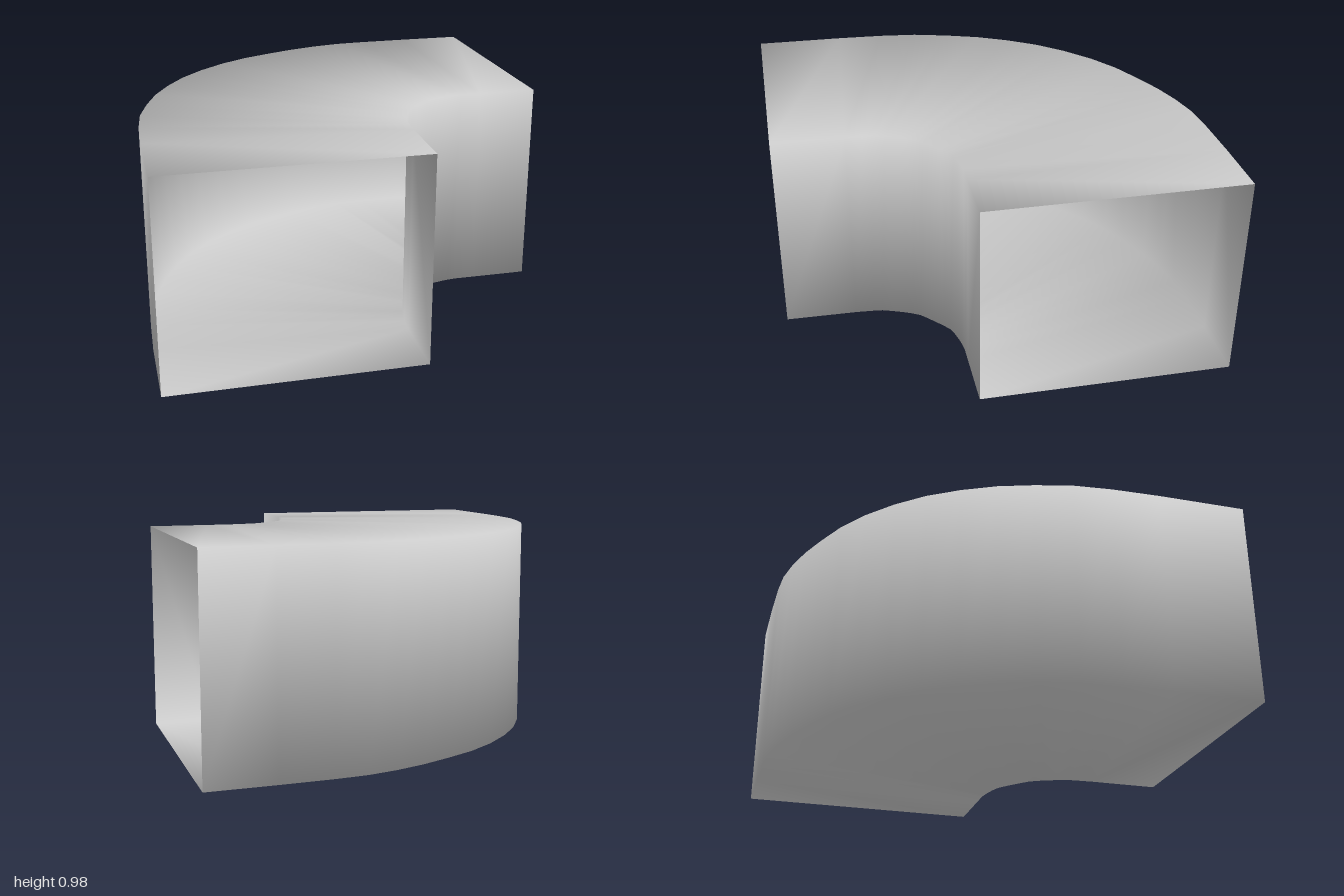
import * as THREE from 'three';

// Plan outlines [x, z] of the two side walls, from the front opening to the side opening
const outer = [
  [-0.975, 1], [-0.97, 0.58], [-0.96, 0.35], [-0.94, 0.17], [-0.895, 0], [-0.84, -0.16],
  [-0.765, -0.31], [-0.675, -0.45], [-0.565, -0.575], [-0.435, -0.69], [-0.3, -0.78], [-0.155, -0.85],
  [-0.015, -0.91], [0.125, -0.955], [0.265, -0.985], [0.41, -0.995], [0.66, -1], [0.975, -1],
];
const inner = [
  [0.205, 1], [0.21, 0.66], [0.215, 0.58], [0.22, 0.53], [0.237, 0.48], [0.26, 0.42],
  [0.277, 0.385], [0.297, 0.35], [0.33, 0.318], [0.367, 0.285], [0.403, 0.253], [0.44, 0.225],
  [0.485, 0.208], [0.53, 0.197], [0.565, 0.19], [0.605, 0.185], [0.7, 0.185], [0.975, 0.185],
];
const HEIGHT = 0.98;

// Open rectangular tube: one four-cornered section per outline point, corners shared for smooth normals
function ductGeometry() {
  const positions = [], index = [];
  outer.forEach(([ox, oz], i) => {
    const [ix, iz] = inner[i];
    positions.push(ox, 0, oz, ox, HEIGHT, oz, ix, HEIGHT, iz, ix, 0, iz);
    if (i === 0) return;
    for (let k = 0; k < 4; k++) {
      const a = (i - 1) * 4 + k, b = (i - 1) * 4 + (k + 1) % 4;
      index.push(a, b, a + 4, b, b + 4, a + 4);
    }
  });
  const geometry = new THREE.BufferGeometry();
  geometry.setAttribute('position', new THREE.Float32BufferAttribute(positions, 3));
  geometry.setIndex(index);
  geometry.computeVertexNormals();
  return geometry;
}

export function createModel() {
  const group = new THREE.Group();
  group.name = 'ductElbow';
  // Thin sheet walls, open at both ends
  const material = new THREE.MeshStandardMaterial({ color: 0xcccccc, side: THREE.DoubleSide });
  const duct = new THREE.Mesh(ductGeometry(), material);
  duct.name = 'elbowWalls';
  group.add(duct);
  return group;
}
